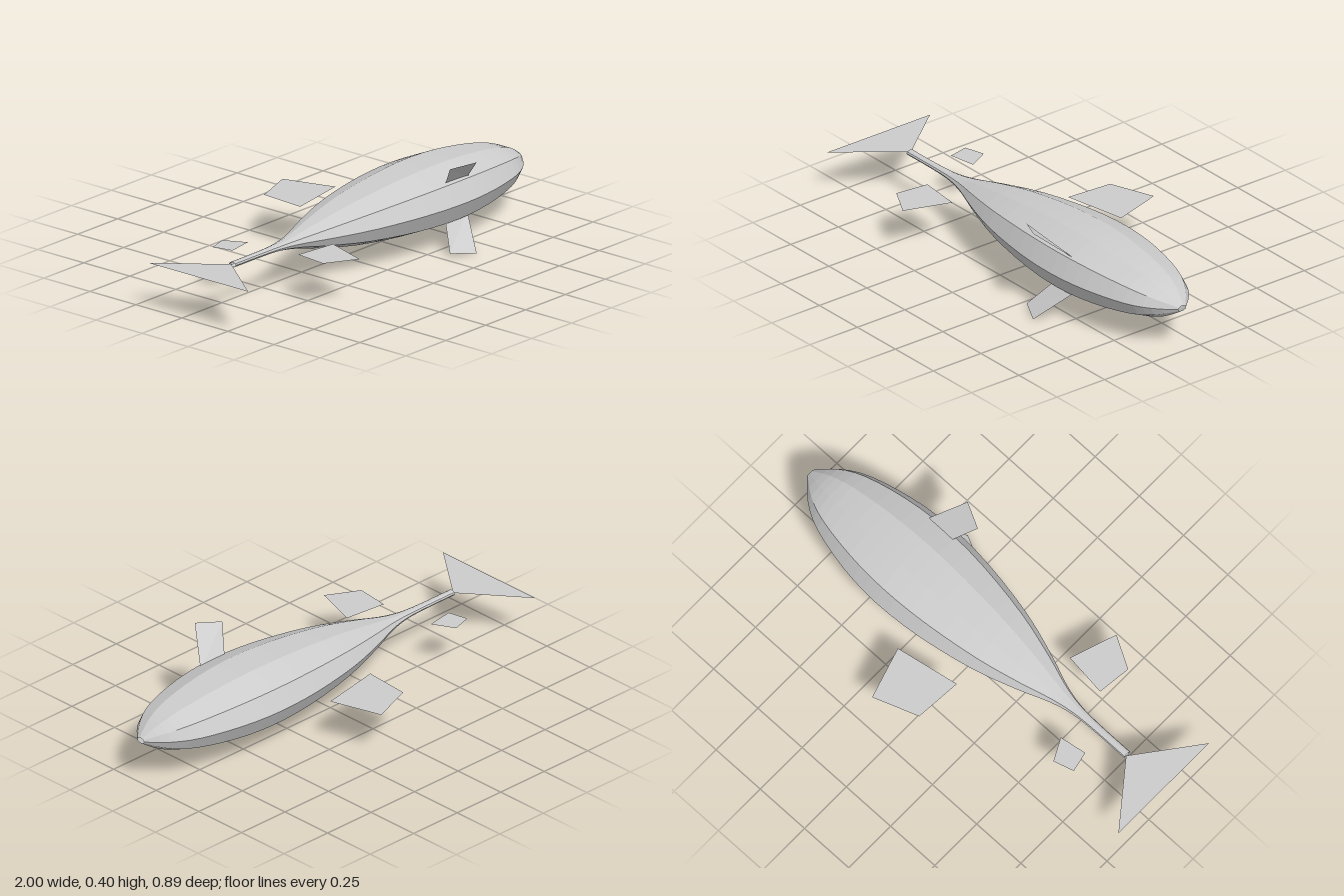
import * as THREE from 'three';

const Y = 0.198; // height of the body axis
const Z = 0.092; // sideways offset of the body axis

const material = new THREE.MeshStandardMaterial({
  color: 0xcccccc, flatShading: true, side: THREE.DoubleSide,
});

// Flat fin from three or four [x, y, z] corners
function fin(name, corners) {
  const geometry = new THREE.BufferGeometry();
  geometry.setAttribute('position', new THREE.Float32BufferAttribute(corners.flat(), 3));
  geometry.setIndex(corners.length === 4 ? [0, 1, 2, 0, 2, 3] : [0, 1, 2]);
  geometry.computeVertexNormals();
  const mesh = new THREE.Mesh(geometry, material);
  mesh.name = name;
  return mesh;
}

// Horizontal fin lying on the level of the body axis, from [x, z] corners
const levelFin = (name, points) => fin(name, points.map(([x, z]) => [x, Y, z]));

// Ten-sided open hull, lofted along x and squashed in height
function hull() {
  const profile = new THREE.SplineCurve([
    [0.018, -0.79], [0.019, -0.61], [0.027, -0.5], [0.052, -0.4], [0.102, -0.27],
    [0.165, -0.07], [0.213, 0.19], [0.227, 0.42], [0.208, 0.62], [0.16, 0.81],
    [0.1, 0.92], [0.02, 1],
  ].map(([r, x]) => new THREE.Vector2(r, x)));
  const geometry = new THREE.LatheGeometry(profile.getPoints(33), 10);
  geometry.rotateZ(-Math.PI / 2); // lathe axis y becomes x
  geometry.scale(1, 0.615, 1);
  geometry.translate(0, Y, Z);
  const mesh = new THREE.Mesh(geometry, material);
  mesh.name = 'body';
  return mesh;
}

export function createModel() {
  const model = new THREE.Group();
  model.name = 'fish';
  model.add(hull());

  // Tail and the detached level fins
  model.add(levelFin('tailFin', [[-0.79, 0.086], [-1, -0.182], [-1, 0.36]]));
  model.add(levelFin('largeBackFin', [[-0.07, -0.164], [0.213, -0.217], [0.143, -0.445], [-0.055, -0.373]]));
  model.add(levelFin('smallBackFin', [[-0.68, -0.11], [-0.66, -0.02], [-0.54, -0.04], [-0.59, -0.137]]));
  model.add(levelFin('bellyFin', [[-0.52, 0.216], [-0.537, 0.366], [-0.398, 0.443], [-0.328, 0.238]]));

  // Pair of slanted fins, mirrored about the axis height
  for (const side of [1, -1]) {
    model.add(fin(side > 0 ? 'upperSideFin' : 'lowerSideFin', [
      [0.288, Y + side * 0.184, 0.34],
      [0.395, Y + side * 0.198, 0.392],
      [0.5, Y + side * 0.074, 0.25],
      [0.37, Y + side * 0.066, 0.24],
    ]));
  }
  return model;
}
